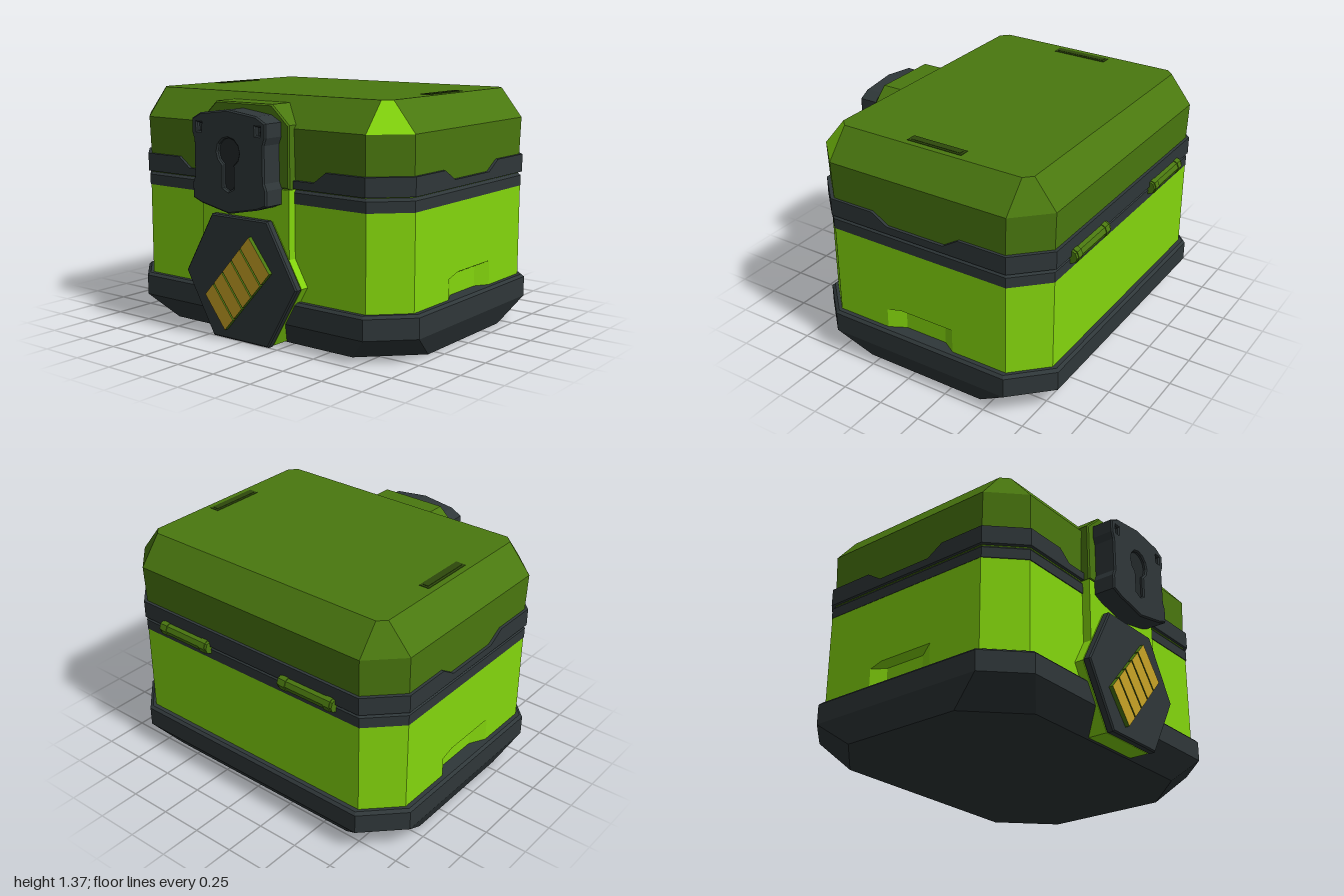
import * as THREE from 'three';

const paint = (name, color) => {
  const m = new THREE.MeshStandardMaterial({ color });
  m.name = name;
  return m;
};

// Eight-sided plan outline, counter-clockwise from above, starting at the front of the +x side.
// side: extra [dx, z] points along the +x side (mirrored to -x); front: extra x positions on the front.
function outline(y, hx, z0, z1, c, { side = [], front = [], rise = () => 0 } = {}) {
  const p = [
    [hx, z1 - c], ...side.map(([d, z]) => [hx - d, z]), [hx, z0 + c],
    [hx - c, z0], [c - hx, z0],
    [-hx, z0 + c], ...[...side].reverse().map(([d, z]) => [d - hx, z]), [-hx, z1 - c],
    [c - hx, z1], ...front.map((x) => [x, z1]), [hx - c, z1],
  ];
  return p.map(([x, z]) => new THREE.Vector3(x, y + rise(x, z), z));
}

// Flat-faceted skin over a stack of outlines, closed at both ends.
function loft(rings, materialOf) {
  const pos = [], geo = new THREE.BufferGeometry();
  const tri = (...v) => v.forEach((p) => pos.push(p.x, p.y, p.z));
  const n = rings[0].length, top = rings[rings.length - 1], low = rings[0];
  for (let i = 0; i < rings.length - 1; i++) {
    for (let j = 0; j < n; j++) {
      const k = (j + 1) % n, a = rings[i], b = rings[i + 1];
      if (materialOf) geo.addGroup(pos.length / 3, 6, materialOf(i, j));
      tri(a[j], a[k], b[k]);
      tri(a[j], b[k], b[j]);
    }
  }
  if (materialOf) geo.addGroup(pos.length / 3, (n - 2) * 6, 0);
  for (let j = 1; j < n - 1; j++) {
    tri(top[0], top[j], top[j + 1]);
    tri(low[0], low[j + 1], low[j]);
  }
  geo.setAttribute('position', new THREE.Float32BufferAttribute(pos, 3));
  geo.computeVertexNormals();
  return geo;
}

const shapeOf = (pts) => new THREE.Shape(pts.map(([x, y]) => new THREE.Vector2(x, y)));

// Front-facing plate from z0 to z1 with an optional bevelled rim.
function plate(shape, z0, z1, bevel = 0) {
  const geo = new THREE.ExtrudeGeometry(shape, {
    depth: z1 - z0 - bevel * 2, bevelEnabled: bevel > 0, bevelSize: bevel, bevelOffset: -bevel,
    bevelThickness: bevel, bevelSegments: 1, curveSegments: 5,
  });
  return geo.translate(0, 0, z0 + bevel);
}

export function createModel() {
  const bright = paint('bright green', 0x84d60d);
  const green = paint('dark green', 0x4a780f);
  const shade = paint('slot green', 0x2d480b);
  const dark = paint('charcoal', 0x2f3739);
  const black = paint('deep charcoal', 0x22282a);
  const gold = paint('gold', 0xc8a426);
  const model = new THREE.Group();
  const add = (name, geo, mat, parent = model) => {
    const m = new THREE.Mesh(geo, mat);
    m.name = name;
    parent.add(m);
    return m;
  };

  // Base tray
  add('base', loft([
    outline(0, 0.935, -0.73, 0.6, 0.29),
    outline(0.14, 1, -0.84, 0.71, 0.21),
    outline(0.255, 1, -0.84, 0.71, 0.21),
    outline(0.27, 0.985, -0.825, 0.695, 0.205),
  ]), dark);

  // Chest body with sunken hand grips in both sides
  const grip = (d) => ({ side: [[0, 0.155], [d, 0.06], [d, -0.2], [0, -0.28]] });
  add('body', loft([
    outline(0.26, 0.96, -0.8, 0.67, 0.18, grip(0.05)),
    outline(0.385, 0.96, -0.8, 0.67, 0.18, grip(0.05)),
    outline(0.41, 0.96, -0.8, 0.67, 0.18, grip(0)),
    outline(0.8, 0.96, -0.8, 0.67, 0.18, grip(0)),
  ]), bright);
  add('bodyRim', loft([
    outline(0.8, 0.962, -0.802, 0.675, 0.18),
    outline(0.86, 0.962, -0.802, 0.675, 0.18),
    outline(0.878, 0.945, -0.785, 0.66, 0.175),
  ]), dark);

  // Lid, with one bevelled corner in the brighter green
  add('lid', loft([
    outline(0.875, 0.95, -0.79, 0.665, 0.18),
    outline(1.2, 0.957, -0.8, 0.675, 0.18),
    outline(1.365, 0.82, -0.67, 0.537, 0.045),
  ], (i, j) => (i === 1 && j === 7 ? 1 : 0)), [green, bright]);

  // Lid band, its upper edge stepping down at the middle of the sides and front
  const step = {
    side: [[0, 0.22], [0, 0.12], [0, -0.24], [0, -0.335]],
    front: [-0.53, -0.45, 0.45, 0.53],
  };
  const stepped = {
    ...step,
    rise: (x, z) => ((Math.abs(x) > 0.9 && z < 0.13 && z > -0.25)
      || (z > 0.6 && Math.abs(x) < 0.46) ? -0.06 : 0),
  };
  add('lidBand', loft([
    outline(0.882, 0.968, -0.81, 0.685, 0.185, step),
    outline(0.985, 0.968, -0.81, 0.685, 0.185, stepped),
    outline(0.987, 0.93, -0.77, 0.645, 0.175, stepped),
  ]), dark);

  // Slots in the lid top
  for (const s of [-1, 1]) {
    add('lidSlotFrame', new THREE.BoxGeometry(0.06, 0.006, 0.34).translate(s * 0.755, 1.365, -0.07), shade);
    add('lidSlot', new THREE.BoxGeometry(0.032, 0.008, 0.31).translate(s * 0.755, 1.366, -0.07), shade);
  }

  // Raised centre strip on lid and body
  add('lidTab', plate(shapeOf([
    [-0.315, 0.88], [0.315, 0.88], [0.315, 1.22], [0.2, 1.325], [-0.2, 1.325], [-0.315, 1.22],
  ]), 0.5, 0.72, 0.008), green);
  add('bodyStrip', new THREE.BoxGeometry(0.63, 0.61, 0.17).translate(0, 0.573, 0.635), bright);

  // Hexagonal badge on its green backing
  const hexagon = (r) => shapeOf([
    [r, 0], [r / 2, r * 0.866], [-r / 2, r * 0.866], [-r, 0], [-r / 2, -r * 0.866], [r / 2, -r * 0.866],
  ]);
  const badge = new THREE.Group();
  badge.name = 'badge';
  badge.position.y = 0.355;
  model.add(badge);
  add('badgeBacking', plate(hexagon(0.4), 0.6, 0.722), bright, badge);
  add('badgePlate', plate(hexagon(0.403), 0.722, 0.77, 0.008), dark, badge);

  // Row of plain slanted ridges across the badge
  const ridges = new THREE.Group();
  ridges.name = 'badgeRidges';
  ridges.position.set(0, -0.02, 0);
  ridges.rotation.z = 0.84;
  badge.add(ridges);
  for (let i = 0; i < 5; i++) {
    const x = -0.2 + i * 0.1;
    add('ridge', plate(shapeOf([
      [x - 0.065, -0.115], [x + 0.025, -0.115], [x + 0.065, 0.115], [x - 0.025, 0.115],
    ]), 0.76, 0.795), [gold, green], ridges);
  }

  // Lock: solid back and a front layer cut by the keyhole and two small slots
  const half = [[0.2, 0.775], [0.265, 0.8], [0.265, 0.885], [0.25, 0.92], [0.25, 1.12], [0.265, 1.16],
    [0.265, 1.235], [0.2, 1.27]];
  const lockShape = () => shapeOf([
    [0, 0.735], ...half, [0, 1.295], ...half.map(([x, y]) => [-x, y]).reverse(),
  ]);
  const keyhole = new THREE.Path();
  keyhole.moveTo(-0.036, 0.875);
  keyhole.lineTo(0, 0.858);
  keyhole.lineTo(0.036, 0.875);
  keyhole.lineTo(0.036, 1.0);
  keyhole.absarc(0, 1.068, 0.077, -1.08, Math.PI + 1.08, false);
  keyhole.closePath();
  const face = lockShape();
  face.holes.push(keyhole);
  for (const s of [-1, 1]) {
    face.holes.push(new THREE.Path([[-0.013, 1.17], [0.013, 1.17], [0.016, 1.215], [-0.016, 1.215]]
      .map(([x, y]) => new THREE.Vector2(s * 0.21 + x, y))));
  }
  add('lockBack', plate(lockShape(), 0.7, 0.825), dark);
  add('lockFace', plate(face, 0.815, 0.848, 0.008), dark);
  add('keyholeFloor', plate(shapeOf([[-0.09, 0.85], [0.09, 0.85], [0.09, 1.15], [-0.09, 1.15]]), 0.822, 0.828), black);

  // Back hinges: barrel with a knuckle at each end
  for (const s of [-1, 1]) {
    const hinge = new THREE.Group();
    hinge.name = 'hinge';
    hinge.position.set(s * 0.447, 0.875, -0.803);
    hinge.rotation.z = Math.PI / 2;
    model.add(hinge);
    const flat = (r, h) => new THREE.CylinderGeometry(r, r, h, 8).toNonIndexed();
    const parts = [[0.04, 0.37, 0], [0.045, 0.04, -0.15], [0.045, 0.04, 0.15]];
    for (const [r, h, y] of parts) {
      const g = flat(r, h).translate(0, y, 0);
      g.computeVertexNormals();
      add('hingeBarrel', g, green, hinge);
    }
  }
  return model;
}
